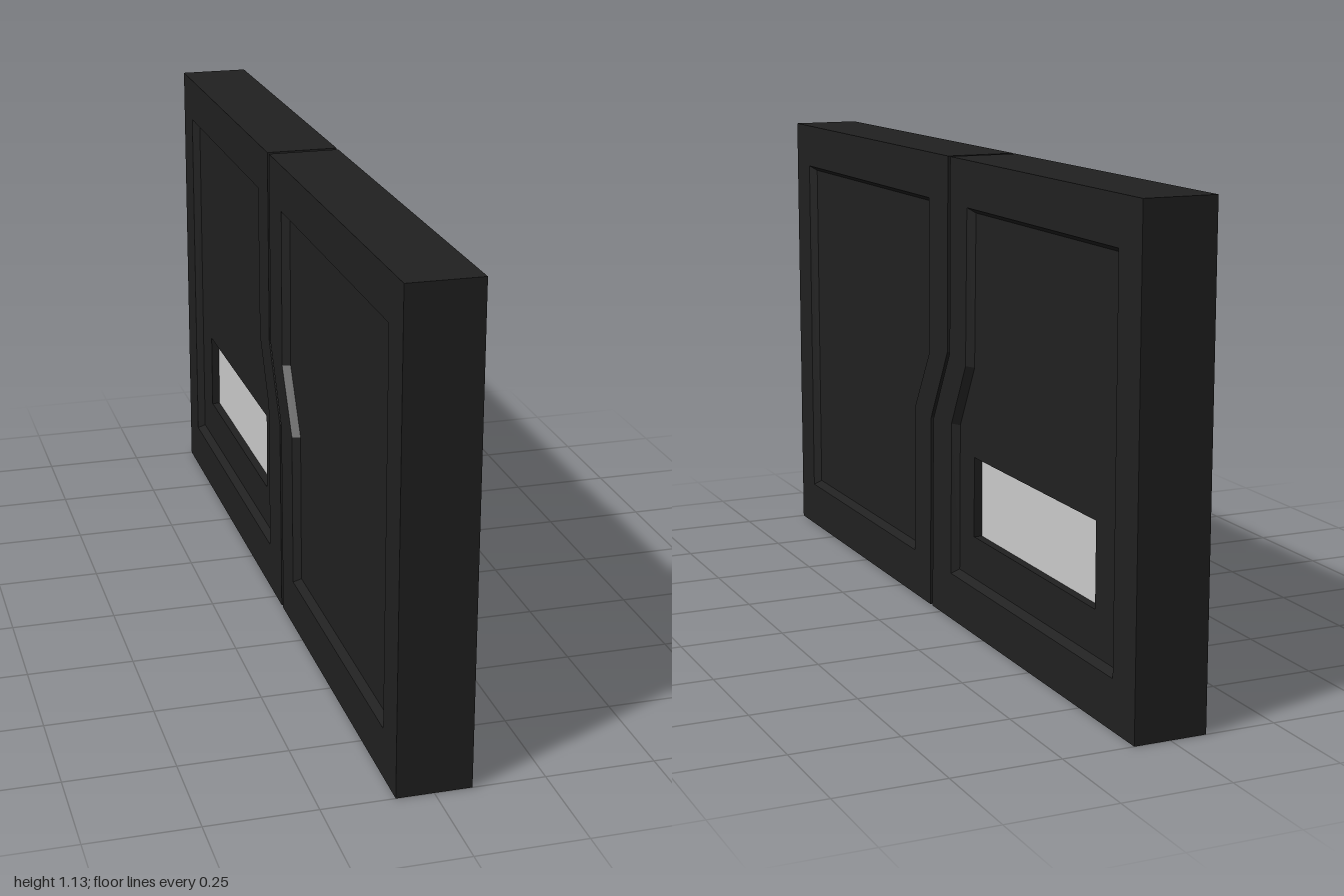
import * as THREE from 'three';

const HALF = 0.085;      // half thickness of the door
const HEIGHT = 1.13;
const RECESS = 0.018;    // depth of the sunken panels
const BEVEL = 0.012;     // width of the slope round each panel
const GLASS = 0.02;      // depth of the window below its panel
const GAP = 0.007;       // half width of the seam

const dark = new THREE.MeshStandardMaterial({ color: 0x202020 });
const darkSheet = new THREE.MeshStandardMaterial({ color: 0x202020, side: THREE.DoubleSide });
const grey = new THREE.MeshStandardMaterial({ color: 0xcccccc });

// Outlines are [u, y] pairs, where u runs along -z.
const SEAM = [[-0.06, 0], [-0.05, 0.48], [0.05, 0.66], [0.056, HEIGHT]];
const toPoints = (list) => list.map(([u, y]) => new THREE.Vector2(u, y));
const shiftSeam = (d) => SEAM.map(([u, y]) => [u + d, y]);

// Extrude an outline evenly to both sides of the x = 0 plane
function slab(name, outline, half, material, hole) {
  const shape = new THREE.Shape(toPoints(outline));
  if (hole) shape.holes.push(new THREE.Path(toPoints(hole)));
  const geo = new THREE.ExtrudeGeometry(shape, { depth: half * 2, bevelEnabled: false });
  geo.translate(0, 0, -half).rotateY(Math.PI / 2);
  const mesh = new THREE.Mesh(geo, material);
  mesh.name = name;
  return mesh;
}

// Move every edge of a counter-clockwise outline inwards by d
function inset(outline, d) {
  const n = outline.length;
  return outline.map(([u, y], i) => {
    const [pu, py] = outline[(i + n - 1) % n];
    const [nu, ny] = outline[(i + 1) % n];
    const a = new THREE.Vector2(-(y - py), u - pu).normalize();
    const b = new THREE.Vector2(-(ny - y), nu - u).normalize();
    const k = d / (1 + a.dot(b));
    return [u + (a.x + b.x) * k, y + (a.y + b.y) * k];
  });
}

// Sloping rim from the door face down to the sunken panel
function rim(outline, side) {
  const inner = inset(outline, BEVEL);
  const pos = [];
  const put = ([u, y], x) => pos.push(side * x, y, -u);
  outline.forEach((p, i) => {
    const j = (i + 1) % outline.length;
    const quad = [[p, HALF], [outline[j], HALF], [inner[j], HALF - RECESS], [inner[i], HALF - RECESS]];
    const order = side > 0 ? [0, 1, 2, 0, 2, 3] : [0, 2, 1, 0, 3, 2];
    order.forEach((k) => put(...quad[k]));
  });
  const geo = new THREE.BufferGeometry();
  geo.setAttribute('position', new THREE.Float32BufferAttribute(pos, 3));
  geo.computeVertexNormals();
  const mesh = new THREE.Mesh(geo, darkSheet);
  mesh.name = 'panelRim';
  return mesh;
}

// One door leaf: frame, sunken panel on both faces, optional window
function leaf(name, outline, recess, win) {
  const group = new THREE.Group();
  group.name = name;
  group.add(slab('frame', outline, HALF, dark, recess));
  group.add(slab('panel', recess, HALF - RECESS, dark, win));
  group.add(rim(recess, 1), rim(recess, -1));
  if (win) group.add(slab('window', win, HALF - RECESS - GLASS, grey));
  return group;
}

export function createModel() {
  const door = new THREE.Group();
  door.name = 'slidingDoor';

  // Front leaf
  door.add(leaf('frontLeaf',
    [[-1, 0], ...shiftSeam(-GAP), [-1, HEIGHT]],
    [[-0.906, 0.115], [-0.164, 0.115], [-0.157, 0.49], [-0.067, 0.64], [-0.065, 1.02], [-0.906, 1.02]]));

  // Back leaf with the window
  door.add(leaf('backLeaf',
    [[1, 0], [1, HEIGHT], ...shiftSeam(GAP).reverse()],
    [[0.062, 0.115], [0.902, 0.115], [0.902, 1.02], [0.158, 1.02], [0.15, 0.645], [0.067, 0.49]],
    [[0.16, 0.23], [0.785, 0.23], [0.785, 0.425], [0.16, 0.425]]));

  // Seal inside the seam, stopping short of the top and bottom
  const clipY = ([u, y]) => [u, THREE.MathUtils.clamp(y, 0.05, HEIGHT - 0.05)];
  door.add(slab('seamSeal',
    [...shiftSeam(GAP + 0.002).map(clipY), ...shiftSeam(-GAP - 0.002).map(clipY).reverse()],
    0.05, dark));

  return door;
}
